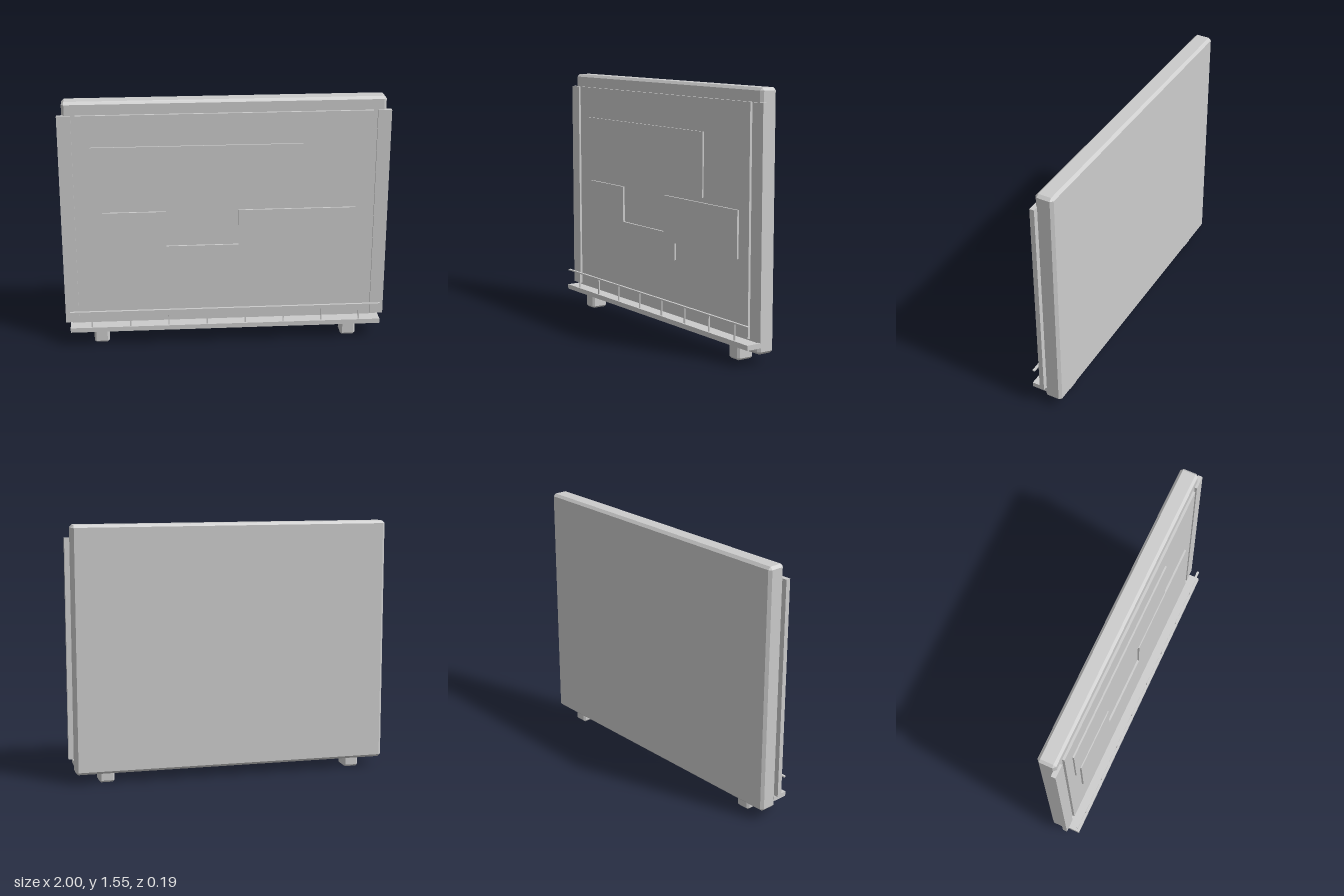
import * as THREE from 'three';
import { ConvexGeometry } from 'three/addons/geometries/ConvexGeometry.js';

const grey = new THREE.MeshStandardMaterial({ color: 0xcccccc, flatShading: true });

export function createModel() {
  const model = new THREE.Group();

  const add = (name, geometry) => {
    const mesh = new THREE.Mesh(geometry, grey);
    mesh.name = name;
    model.add(mesh);
    return mesh;
  };

  // Plain box given by its limits on each axis
  const box = (name, [x0, x1], [y0, y1], [z0, z1]) =>
    add(name, new THREE.BoxGeometry(x1 - x0, y1 - y0, z1 - z0))
      .position.set((x0 + x1) / 2, (y0 + y1) / 2, (z0 + z1) / 2);

  // Box with every edge chamfered by c
  const chamferBox = (name, [x0, x1], [y0, y1], [z0, z1], c) => {
    const w = (x1 - x0) / 2, h = (y1 - y0) / 2, d = (z1 - z0) / 2;
    const points = [];
    for (const x of [-1, 1]) for (const y of [-1, 1]) for (const z of [-1, 1]) {
      points.push(
        new THREE.Vector3(x * w, y * (h - c), z * (d - c)),
        new THREE.Vector3(x * (w - c), y * h, z * (d - c)),
        new THREE.Vector3(x * (w - c), y * (h - c), z * d));
    }
    add(name, new ConvexGeometry(points))
      .position.set((x0 + x1) / 2, (y0 + y1) / 2, (z0 + z1) / 2);
  };

  // Main slab and the writing panel on its front
  chamferBox('boardBody', [-0.97, 0.97], [0.06, 1.555], [-0.096, 0.015], 0.016);
  box('frontPanel', [-0.89, 0.89], [0.14, 1.475], [0, 0.03]);

  // Side rails and feet, mirrored
  for (const [side, s] of [['left', 1], ['right', -1]]) {
    const span = (a, b) => (s > 0 ? [a, b] : [-b, -a]);
    box(side + 'SideRail', span(0.917, 1), [0.14, 1.475], [0, 0.029]);
    chamferBox(side + 'Foot', span(0.732, 0.826), [0, 0.11], [-0.065, 0.044], 0.012);
  }

  // Raised plates on the panel
  box('upperPlate', [-0.81, 0.47], [0.895, 1.28], [0.02, 0.04]);
  const outline = [
    [-0.75, 0.48], [0.195, 0.48], [0.195, 0.585], [0.8, 0.585], [0.8, 0.865],
    [0.08, 0.865], [0.08, 0.64], [-0.365, 0.64], [-0.365, 0.865], [-0.75, 0.865],
  ].map(([x, y]) => new THREE.Vector2(x, y));
  add('lowerPlate', new THREE.ExtrudeGeometry(new THREE.Shape(outline),
    { depth: 0.022, bevelEnabled: false })).position.z = 0.02;

  // Shelf with its low guard rail on eight posts
  box('shelf', [-0.97, 0.97], [0.1, 0.13], [0, 0.097]);
  box('guardRail', [-0.97, 0.97], [0.227, 0.235], [0.079, 0.094]);
  for (let i = 0; i < 8; i++) {
    const x = (i - 3.5) * 0.239;
    box('guardPost', [x - 0.004, x + 0.004], [0.13, 0.23], [0.079, 0.087]);
  }

  return model;
}
